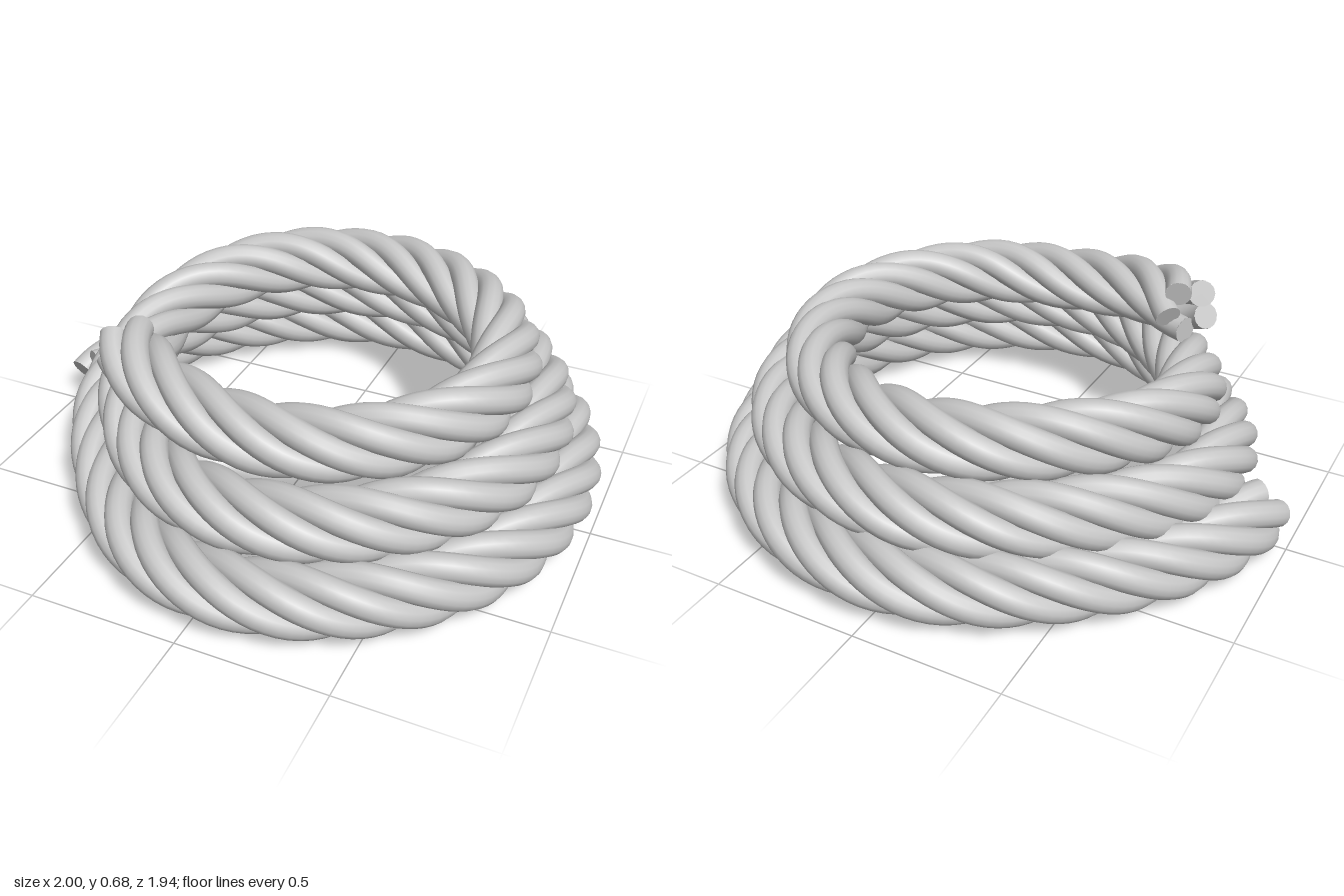
import * as THREE from 'three';

const STRANDS = 5, PITCH = 0.93, LAY = 0.073, THICK = 0.045;

// Coil radius and height at every 45 degrees, starting at the model's right side
const RADII = [
  0.888, 0.82, 0.853, 0.868, 0.88, 0.88, 0.855, 0.725,
  0.735, 0.725, 0.755, 0.765, 0.775, 0.765, 0.722, 0.62,
  0.6, 0.595, 0.62, 0.635, 0.645, 0.61, 0.57, 0.605, 0.63];
const HEIGHTS = [
  0.122, 0.143, 0.145, 0.145, 0.145, 0.145, 0.143, 0.16,
  0.235, 0.31, 0.327, 0.327, 0.327, 0.327, 0.325, 0.345,
  0.425, 0.495, 0.508, 0.505, 0.502, 0.5, 0.504, 0.568, 0.6];
const END_TRIM = 23.13 / 24; // the rope stops part way into the last step

// Centre line of the rope: a flat coil that steps up and inward each turn
class CoilCurve extends THREE.Curve {
  constructor() {
    super();
    this.arcLengthDivisions = 1200;
    this.table = new THREE.CatmullRomCurve3(
      RADII.map((r, i) => new THREE.Vector3(i * Math.PI / 4, r, HEIGHTS[i])), false, 'catmullrom', 0.5);
  }
  getPoint(t, target = new THREE.Vector3()) {
    const p = this.table.getPoint(t * END_TRIM);
    return target.set(-Math.cos(p.x) * p.y, p.z, -Math.sin(p.x) * p.y);
  }
}

// One strand winding right-handed around the centre line
class StrandCurve extends THREE.Curve {
  constructor(coil, phase) {
    super();
    this.arcLengthDivisions = 900;
    this.coil = coil;
    this.phase = phase;
    this.turns = coil.getLength() / PITCH;
  }
  getPoint(t, target = new THREE.Vector3()) {
    const u = THREE.MathUtils.clamp(t, 0, 1);
    const tangent = this.coil.getTangentAt(u);
    const out = new THREE.Vector3(0, 1, 0).cross(tangent).normalize();
    const up = tangent.clone().cross(out);
    const a = this.phase + (u - 1) * this.turns * Math.PI * 2;
    return target.copy(this.coil.getPointAt(u))
      .addScaledVector(out, Math.cos(a) * LAY)
      .addScaledVector(up, Math.sin(a) * LAY);
  }
}

export function createModel() {
  const model = new THREE.Group();
  model.name = 'ropeCoil';
  const ropeGray = new THREE.MeshStandardMaterial({ color: 0xc6c6c6 });
  ropeGray.name = 'rope gray';
  const coil = new CoilCurve();

  for (let i = 0; i < STRANDS; i++) {
    const path = new StrandCurve(coil, 2.1 + i * Math.PI * 2 / STRANDS);
    const strand = new THREE.Group();
    strand.name = 'strand' + (i + 1);
    const body = new THREE.Mesh(new THREE.TubeGeometry(path, 440, THICK, 14, false), ropeGray);
    body.name = 'strandBody';
    strand.add(body);

    // Flat cut ends
    for (const [t, near, name] of [[0, 0.001, 'startCut'], [1, 0.999, 'endCut']]) {
      const cut = new THREE.Mesh(new THREE.CircleGeometry(THICK, 14), ropeGray);
      const tip = path.getPoint(t);
      const facing = tip.clone().sub(path.getPoint(near)).normalize();
      cut.position.copy(tip);
      cut.quaternion.setFromUnitVectors(new THREE.Vector3(0, 0, 1), facing);
      cut.name = name;
      strand.add(cut);
    }
    model.add(strand);
  }
  return model;
}
